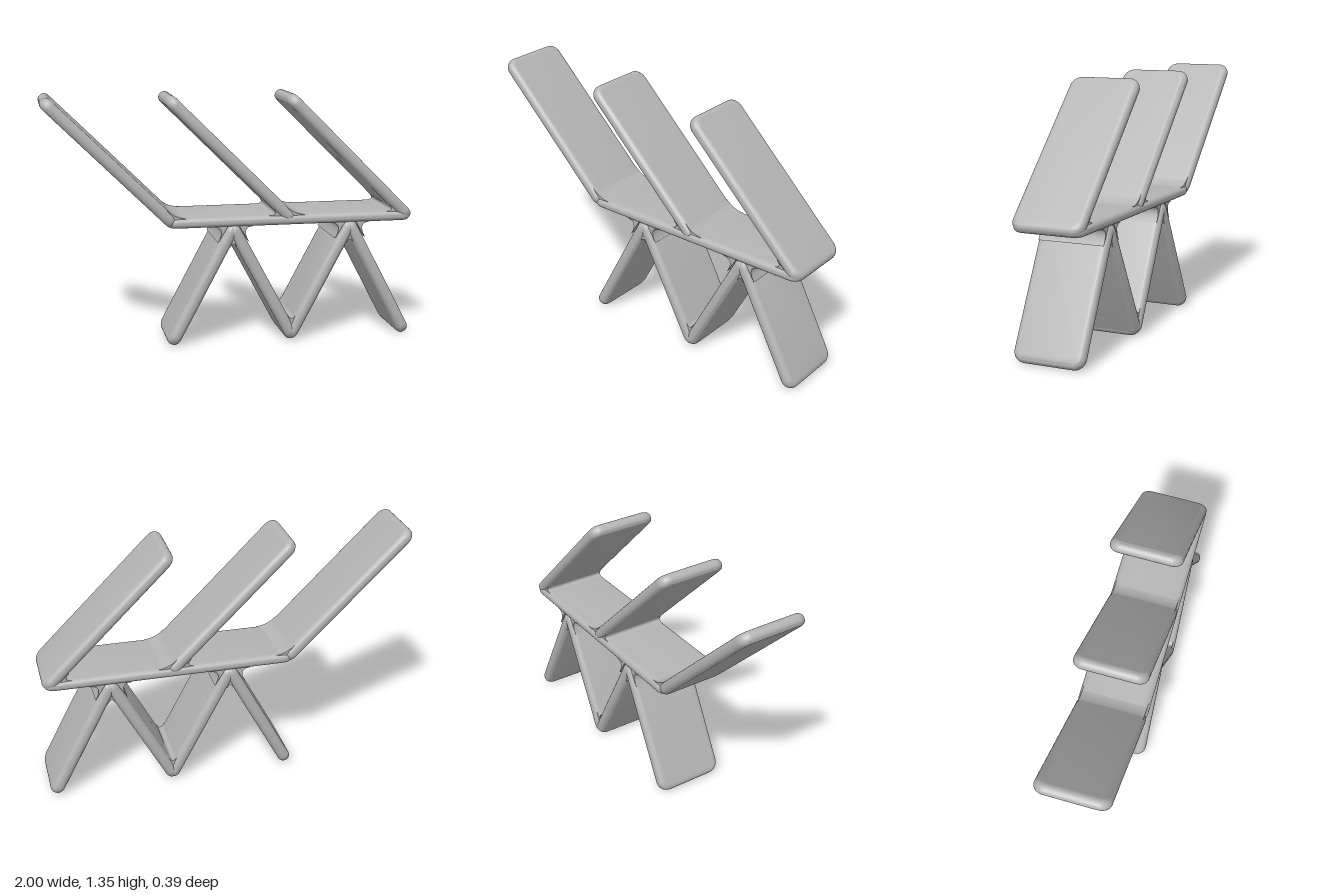
import * as THREE from 'three';
import { mergeVertices, toCreasedNormals } from 'three/addons/utils/BufferGeometryUtils.js';

const WIDTH = 0.386;
const BEVEL = 0.03;
const END = 0.033; // how far a panel runs past its joint

// Pillow-edged panel between two points of the side profile
function panelGeometry([x1, y1], [x2, y2], thickness) {
  const length = Math.hypot(x2 - x1, y2 - y1) + 2 * END;
  const a = length / 2 - BEVEL, b = WIDTH / 2 - BEVEL, r = 0.03;
  const s = new THREE.Shape();
  s.moveTo(-a + r, -b);
  s.lineTo(a - r, -b);
  s.absarc(a - r, -b + r, r, -Math.PI / 2, 0);
  s.absarc(a - r, b - r, r, 0, Math.PI / 2);
  s.absarc(-a + r, b - r, r, Math.PI / 2, Math.PI);
  s.absarc(-a + r, -b + r, r, Math.PI, Math.PI * 1.5);
  const bevelThickness = thickness * 0.45;
  const depth = thickness - 2 * bevelThickness;
  let g = new THREE.ExtrudeGeometry(s, {
    depth, bevelThickness, bevelSize: BEVEL, bevelSegments: 5, curveSegments: 5,
  });
  g.translate(0, 0, -depth / 2);
  g.rotateX(-Math.PI / 2);
  g.rotateZ(Math.atan2(y2 - y1, x2 - x1));
  g.translate((x1 + x2) / 2, (y1 + y2) / 2, 0);
  g.deleteAttribute('normal');
  g.deleteAttribute('uv');
  g = mergeVertices(g, 1e-4);
  return toCreasedNormals(g, 0.7);
}

// Concave weld filling an inside corner
function filletGeometry(corner, p1, p2) {
  const depth = WIDTH - 0.024;
  const s = new THREE.Shape();
  s.moveTo(...p1);
  s.quadraticCurveTo(...corner, ...p2);
  // tuck the back of the weld inside the panels
  const mx = (p1[0] + p2[0]) / 2, my = (p1[1] + p2[1]) / 2;
  const d = Math.hypot(corner[0] - mx, corner[1] - my);
  s.lineTo(corner[0] + (corner[0] - mx) / d * 0.012, corner[1] + (corner[1] - my) / d * 0.012);
  s.closePath();
  const g = new THREE.ExtrudeGeometry(s, { depth, bevelEnabled: false, curveSegments: 8 });
  g.translate(0, 0, -depth / 2);
  return toCreasedNormals(g, 0.6);
}

export function createModel() {
  const model = new THREE.Group();
  model.name = 'slattedBench';
  const grey = new THREE.MeshStandardMaterial({ color: 0xb4b4b4 });
  grey.name = 'plain grey';
  const add = (name, geometry) => {
    const mesh = new THREE.Mesh(geometry, grey);
    mesh.name = name;
    model.add(mesh);
  };

  // Seat
  add('seat', panelGeometry([-0.325, 0.677], [0.962, 0.677], 0.056));

  // Three leaning backs
  [-0.967, -0.322, 0.326].forEach((x, i) => {
    add('back' + (i + 1), panelGeometry([x, 1.315], [x + 0.638, 0.682], 0.064));
    const c = x + 0.616; // where the back meets the seat top
    if (i > 0) add('backRearFillet', filletGeometry([c - 0.043, 0.703], [c - 0.1, 0.703], [c - 0.083, 0.743]));
    if (i < 2) add('backFrontFillet', filletGeometry([c + 0.043, 0.703], [c - 0.005, 0.751], [c + 0.105, 0.703]));
  });

  // Zigzag legs
  const zigzag = [[-0.322, 0.036], [0, 0.64], [0.323, 0.036], [0.645, 0.64], [0.962, 0.036]];
  for (let i = 0; i < 4; i++) add('leg' + (i + 1), panelGeometry(zigzag[i], zigzag[i + 1], 0.066));

  // Welds where the legs meet the seat
  for (const x of [0, 0.645]) {
    for (const side of [-1, 1]) {
      add('legFillet', filletGeometry(
        [x + side * 0.037, 0.65], [x + side * 0.11, 0.65], [x + side * 0.085, 0.564]));
    }
    add('apexFillet', filletGeometry([x, 0.575], [x - 0.019, 0.538], [x + 0.019, 0.538]));
  }
  add('valleyFillet', filletGeometry([0.323, 0.103], [0.3, 0.148], [0.346, 0.148]));

  return model;
}
